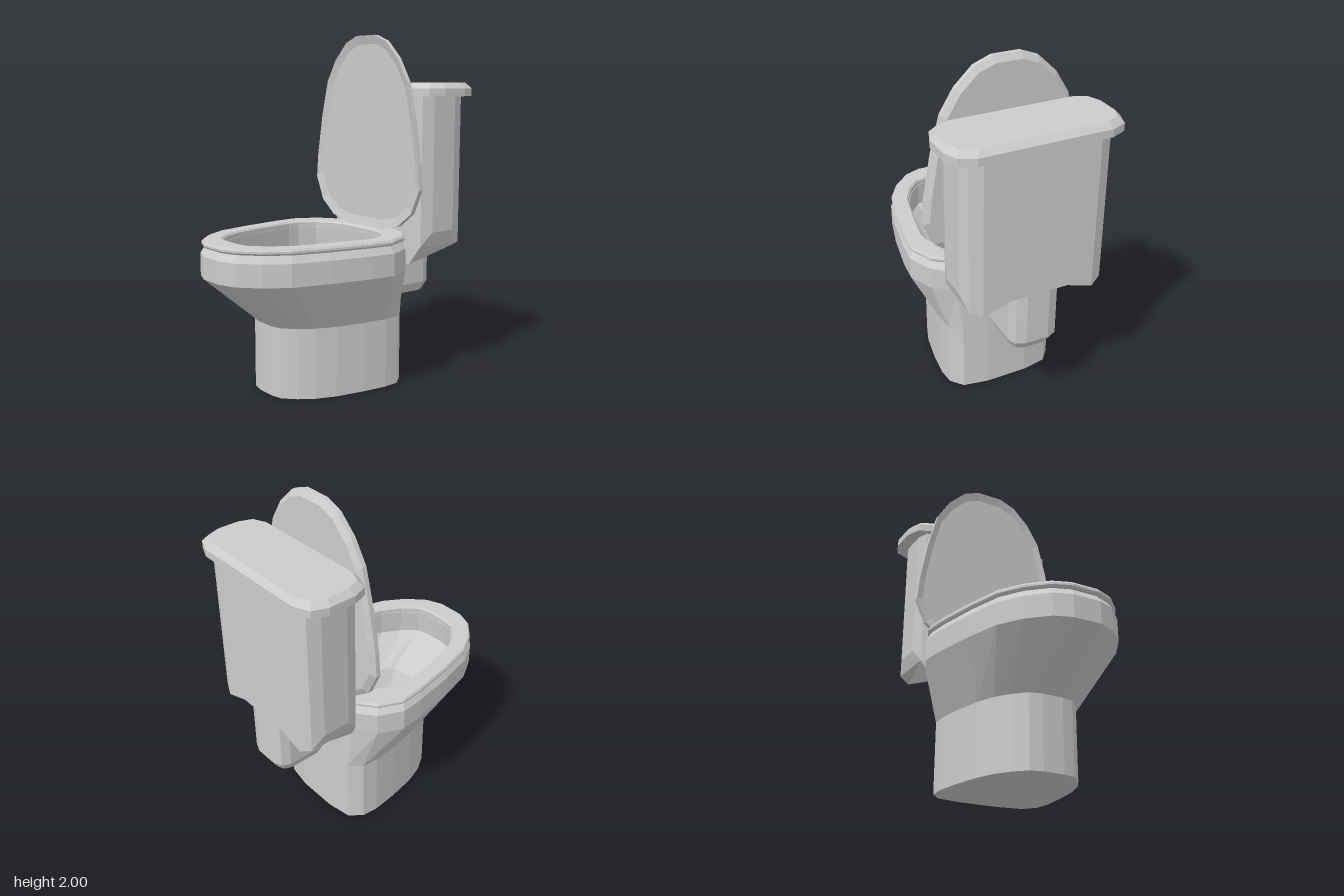
import * as THREE from 'three';

const material = new THREE.MeshStandardMaterial({ color: 0xcccccc, flatShading: true });

// Right-hand half outlines [x, z], from the front round to the back
const OUTER = [[.08, .748], [.18, .71], [.285, .61], [.365, .48], [.42, .27], [.465, .02], [.477, -.12], [.413, -.26], [.3, -.345], [.16, -.378]];
const OPENING = [[.06, .61], [.14, .595], [.22, .51], [.28, .4], [.325, .2], [.36, 0], [.355, -.07], [.31, -.17], [.22, -.235], [.1, -.255]];
const BASIN = [[.05, .38], [.12, .37], [.16, .31], [.2, .24], [.24, .14], [.28, 0], [.285, -.1], [.27, -.17], [.2, -.235], [.1, -.25]];
const FLOOR = [[.05, .33], [.1, .32], [.13, .28], [.16, .23], [.2, .1], [.24, -.03], [.245, -.11], [.235, -.16], [.18, -.23], [.09, -.245]];
const FOOT = [[.06, .412], [.13, .395], [.195, .33], [.25, .245], [.29, .13], [.32, -.04], [.335, -.19], [.325, -.285], [.265, -.355], [.12, -.38]];

// Mirror a half outline into a full ring at height y (number, or one per point), scaled about its middle
function ring(half, y, scale = 1) {
  const mid = (half[0][1] + half[half.length - 1][1]) / 2;
  const right = half.map(([x, z], i) => [x * scale, Array.isArray(y) ? y[i] : y, mid + (z - mid) * scale]);
  const left = right.map(([x, h, z]) => [-x, h, z]).reverse();
  return [...right, ...left];
}

// Faceted skin through successive rings; ends are closed by front-to-back strips
function loft(name, rings, capped = true) {
  const pos = [];
  const quad = (a, b, c, d) => pos.push(...a, ...b, ...c, ...a, ...c, ...d);
  const n = rings[0].length;
  for (let r = 0; r < rings.length - 1; r++) {
    for (let i = 0; i < n; i++) {
      const j = (i + 1) % n;
      quad(rings[r][i], rings[r][j], rings[r + 1][j], rings[r + 1][i]);
    }
  }
  if (capped) {
    const first = rings[0], last = rings[rings.length - 1];
    const front = (k) => (n * 3 / 4 + k) % n;
    const back = (k) => n * 3 / 4 - 1 - k;
    for (let k = 0; k < n / 2 - 1; k++) {
      quad(first[front(k)], first[back(k)], first[back(k + 1)], first[front(k + 1)]);
      quad(last[front(k)], last[front(k + 1)], last[back(k + 1)], last[back(k)]);
    }
  }
  const geometry = new THREE.BufferGeometry();
  geometry.setAttribute('position', new THREE.Float32BufferAttribute(pos, 3));
  geometry.computeVertexNormals();
  const mesh = new THREE.Mesh(geometry, material);
  mesh.name = name;
  return mesh;
}

// Half of a twelve-sided rounded rectangle: half width, front z, back z, corner size in x and z
function roundedHalf(w, front, back, cx, cz) {
  return [
    [w - cx, front], [w - cx * .27, front - cz * .3], [w, front - cz],
    [w, back + cz], [w - cx * .27, back + cz * .3], [w - cx, back],
  ];
}

export function createModel() {
  const group = new THREE.Group();
  group.name = 'toilet';

  // Pedestal, flared bowl, rim and hollow basin in one skin
  group.add(loft('bowl', [
    ring(FOOT, 0), ring(FOOT, .4),
    ring(OUTER, .685), ring(OUTER, .81), ring(OUTER, .85, .95),
    ring(OPENING, .85, .99), ring(OPENING, .71, 1.005),
    ring(BASIN, .53), ring(FLOOR, .41),
  ]));

  // Seat: a closed band around the opening
  const seatStart = ring(OUTER, .852, .97);
  group.add(loft('seat', [
    seatStart, ring(OUTER, .862, .988), ring(OUTER, .873, .988), ring(OUTER, .885, .97),
    ring(OPENING, .885, 1.025), ring(OPENING, .875), ring(OPENING, .85), seatStart,
  ], false));

  // Raised seat cover: shallow recess in front, chamfered edge behind
  const cover = loft('seatCover', [
    ring(OUTER, .015, .9), ring(OUTER, 0, .99), ring(OUTER, .027, .99), ring(OUTER, .05, .93),
  ]);
  cover.rotation.x = -Math.PI / 2;
  cover.position.set(0, 1.256, -.298);
  group.add(cover);

  // Tank, its underside rising at both ends and notched beside the outlet
  const tank = [[.17, -.365], ...roundedHalf(.412, -.365, -.725, .09, .1), [.17, -.725]];
  group.add(loft('tank', [
    ring(tank, [.75, .69, .8, .88, .88, .8, .77, .82]), ring(tank, 1.66),
  ]));

  // Outlet block under the tank
  const outlet = roundedHalf(.14, -.364, -.726, .075, .07);
  group.add(loft('tankOutlet', [
    ring(outlet, .46, .82), ring(outlet, .515), ring(outlet, .85),
  ]));

  // Tank lid with a chamfered top edge
  const lid = roundedHalf(.484, -.348, -.752, .12, .125);
  const lidTop = roundedHalf(.454, -.378, -.722, .105, .11);
  group.add(loft('tankLid', [ring(lid, 1.652), ring(lid, 1.695), ring(lidTop, 1.728)]));

  return group;
}
